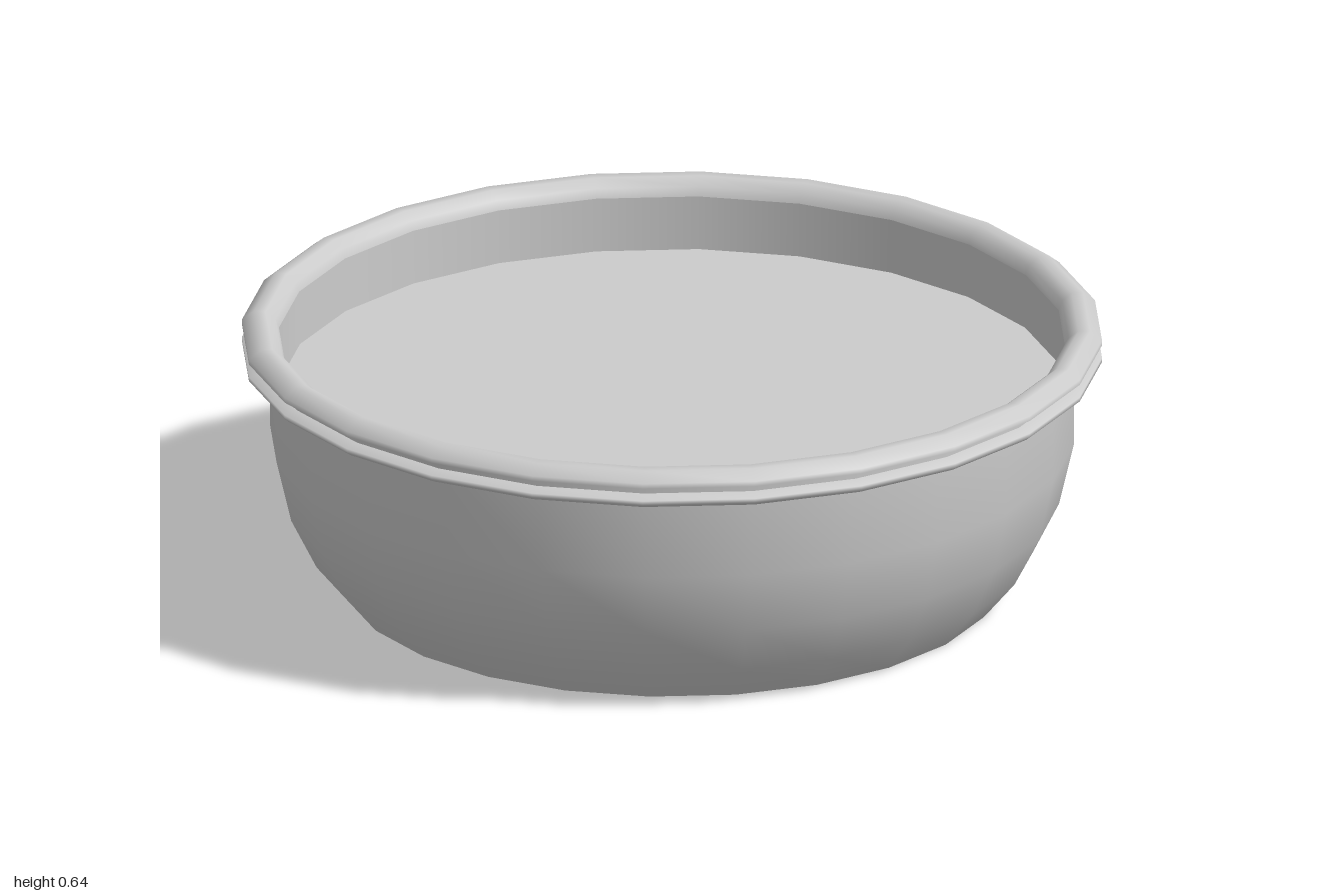
import * as THREE from 'three';

const SIDES = 24;
const material = new THREE.MeshStandardMaterial({ color: 0xcccccc });

// Turns a [radius, height] profile: up the outside, over, and down the inside
function turned(name, profile) {
  const points = profile.map(([r, y]) => new THREE.Vector2(r, y));
  const mesh = new THREE.Mesh(new THREE.LatheGeometry(points, SIDES), material);
  mesh.name = name;
  return mesh;
}

export function createModel() {
  const bowl = new THREE.Group();
  bowl.name = 'bowl';

  bowl.add(
    // Flat base and rounded outer wall
    turned('base', [[0, 0], [0.765, 0]]),
    turned('outerWall', [[0.765, 0], [0.84, 0.09], [0.9, 0.21], [0.935, 0.36], [0.935, 0.56]]),

    // Thin lower lip
    turned('lowerLipUnderside', [[0.93, 0.557], [0.99, 0.557]]),
    turned('lowerLip', [[0.99, 0.557], [1, 0.565], [1, 0.575], [0.97, 0.583]]),

    // Recess between the two lips
    turned('groove', [[0.97, 0.58], [0.97, 0.608]]),

    // Rounded upper rim
    turned('rimUnderside', [[0.97, 0.606], [1, 0.606]]),
    turned('rim', [[1, 0.606], [1, 0.618], [0.972, 0.64], [0.945, 0.64], [0.922, 0.622], [0.914, 0.6]]),

    // Inner wall down to the flat inside surface
    turned('innerWall', [[0.914, 0.6], [0.912, 0.47]]),
    turned('innerFloor', [[0.912, 0.47], [0, 0.47]])
  );

  return bowl;
}
